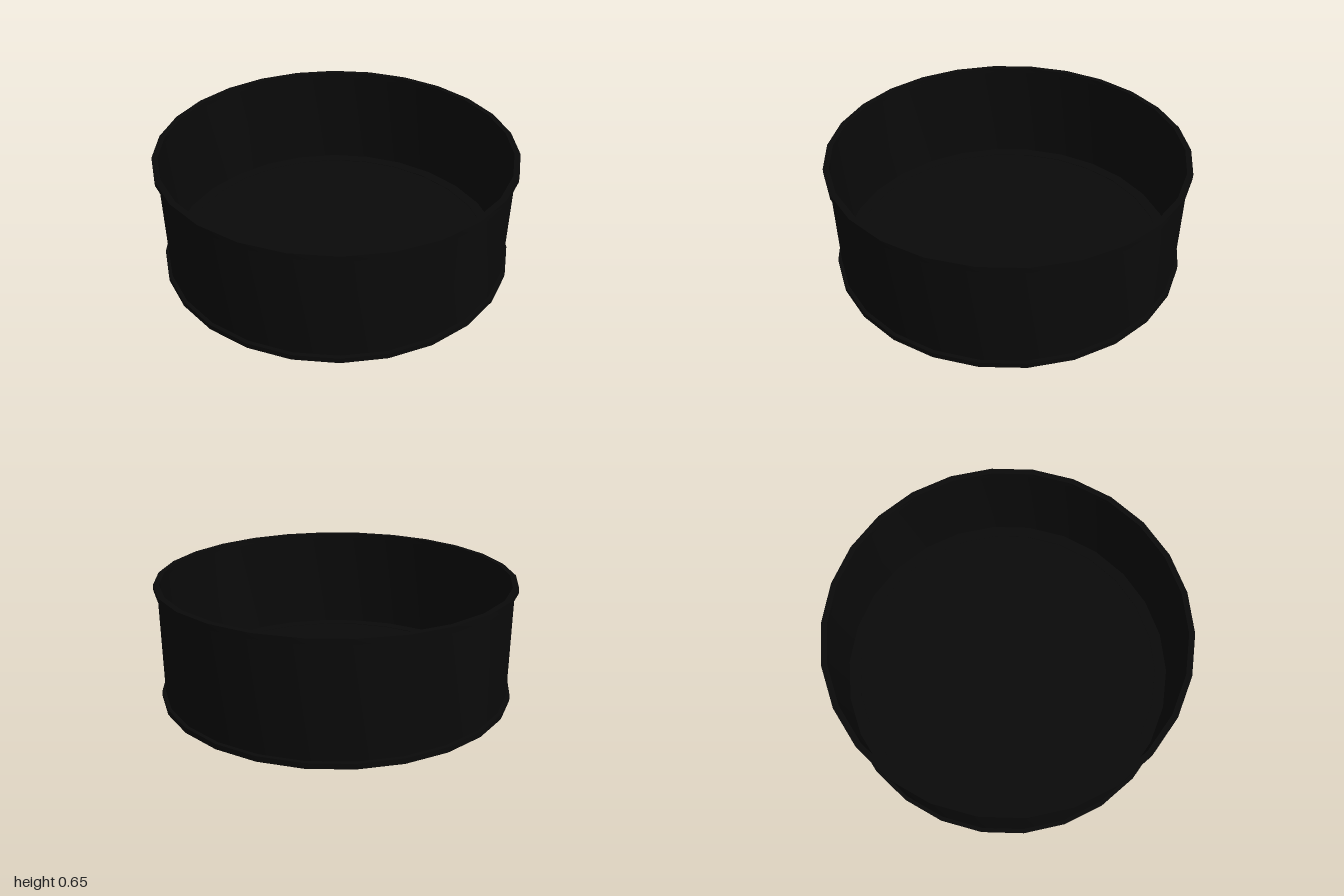
import * as THREE from 'three';
import { toCreasedNormals } from 'three/addons/utils/BufferGeometryUtils.js';

const SIDES = 26;
const HEIGHT = 0.655;
const RIM = 0.03;

export function createModel() {
  const group = new THREE.Group();
  const black = new THREE.MeshStandardMaterial({ color: 0x0a0a0a });

  // Rectangular section turned round the y axis, with crisp edges and smooth sides
  function ring(name, inner, outer, bottom, top) {
    const section = [
      [inner, bottom], [outer, bottom], [outer, top], [inner, top], [inner, bottom],
    ].map(([r, y]) => new THREE.Vector2(r, y));
    const lathe = new THREE.LatheGeometry(section, SIDES, Math.PI / 2);
    const mesh = new THREE.Mesh(toCreasedNormals(lathe, 0.5), black);
    mesh.name = name;
    group.add(mesh);
  }

  // Thin upright wall
  ring('wall', 0.968, 0.98, RIM, HEIGHT - RIM);

  // Narrow top rim, and a wider foot that reaches in under the wall
  ring('topRim', 0.968, 1, HEIGHT - RIM, HEIGHT);
  ring('bottomRim', 0.9, 1, 0, RIM);

  // Floor plate recessed inside the bottom rim
  const floor = new THREE.Mesh(
    new THREE.CylinderGeometry(0.902, 0.902, 0.008, SIDES, 1, false, Math.PI / 2), black);
  floor.name = 'floor';
  floor.position.y = 0.023;
  group.add(floor);

  return group;
}
